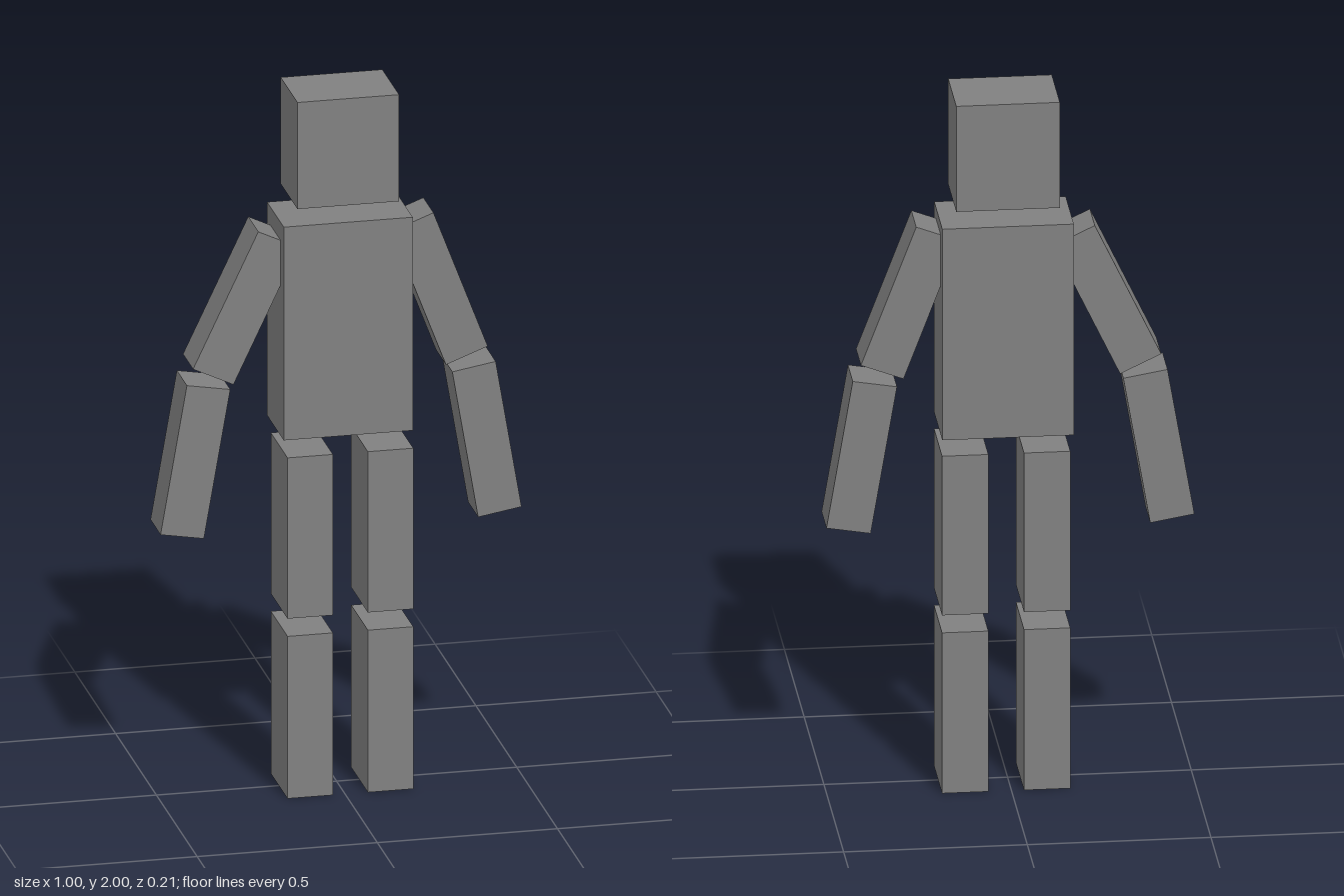
import * as THREE from 'three';

export function createModel() {
  const model = new THREE.Group();
  const grey = new THREE.MeshStandardMaterial({ color: 0x808080 });
  grey.name = 'grey';

  // One box per body segment: size, centre and tilt in degrees about z
  function block(name, size, centre, tilt = 0) {
    const mesh = new THREE.Mesh(new THREE.BoxGeometry(...size), grey);
    mesh.name = name;
    mesh.position.set(...centre);
    mesh.rotation.z = THREE.MathUtils.degToRad(tilt);
    model.add(mesh);
  }

  // Head and torso
  block('head', [0.282, 0.307, 0.205], [0.01, 1.8465, -0.003]);
  block('torso', [0.358, 0.614, 0.205], [0.01, 1.337, -0.003]);

  // Arms, posed slightly differently on each side
  block('rightUpperArm', [0.124, 0.422, 0.124], [-0.265, 1.404, -0.003], -25.4);
  block('leftUpperArm', [0.124, 0.424, 0.124], [0.273, 1.417, -0.003], 20.8);
  block('rightForearm', [0.122, 0.43, 0.124], [-0.405, 0.972, -0.003], -9.8);
  block('leftForearm', [0.122, 0.43, 0.124], [0.404, 0.973, -0.003], 9.6);

  // Legs
  for (const [side, x] of [['right', -0.097], ['left', 0.126]]) {
    block(side + 'Thigh', [0.126, 0.463, 0.205], [x, 0.7495, 0.003]);
    block(side + 'Shin', [0.126, 0.467, 0.205], [x, 0.2335, 0.003]);
  }

  return model;
}
